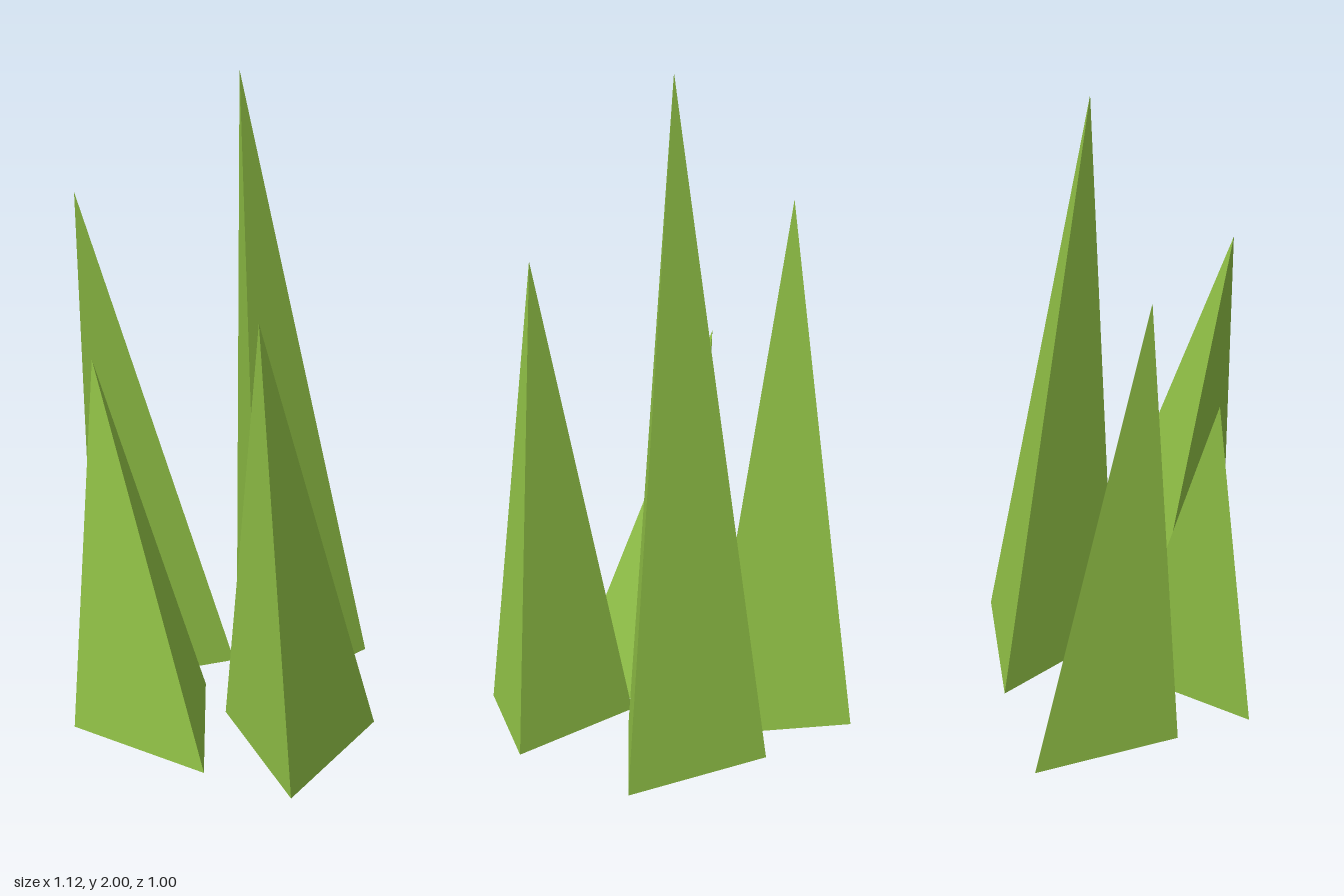
import * as THREE from 'three';

// Leaning three-sided spike: base corners [x, z] run counter-clockwise seen from above
function bladeGeometry(base, tip) {
  const [a, b, c] = base.map(([x, z]) => [x, 0, z]);
  const faces = [[a, b, tip], [b, c, tip], [c, a, tip], [a, c, b]];
  const geometry = new THREE.BufferGeometry();
  geometry.setAttribute('position', new THREE.Float32BufferAttribute(faces.flat(2), 3));
  geometry.computeVertexNormals();
  return geometry;
}

export function createModel() {
  const group = new THREE.Group();
  group.name = 'grassTuft';
  const green = new THREE.MeshStandardMaterial({ color: 0x8fbf45, flatShading: true });

  const blades = {
    backBlade: { base: [[-0.25, -0.307], [0.137, -0.032], [0.182, -0.503]], tip: [-0.003, 2, -0.063] },
    rightBlade: { base: [[-0.56, -0.104], [-0.3, 0.293], [-0.085, -0.13]], tip: [-0.42, 1.625, 0.213] },
    frontBlade: { base: [[-0.048, 0.038], [-0.163, 0.5], [0.292, 0.369]], tip: [-0.184, 1.195, 0.358] },
    leftBlade: { base: [[0.112, 0.102], [0.557, 0.269], [0.479, -0.198]], tip: [0.412, 1.435, 0.275] },
  };

  for (const [name, { base, tip }] of Object.entries(blades)) {
    const blade = new THREE.Mesh(bladeGeometry(base, tip), green);
    blade.name = name;
    group.add(blade);
  }
  return group;
}
